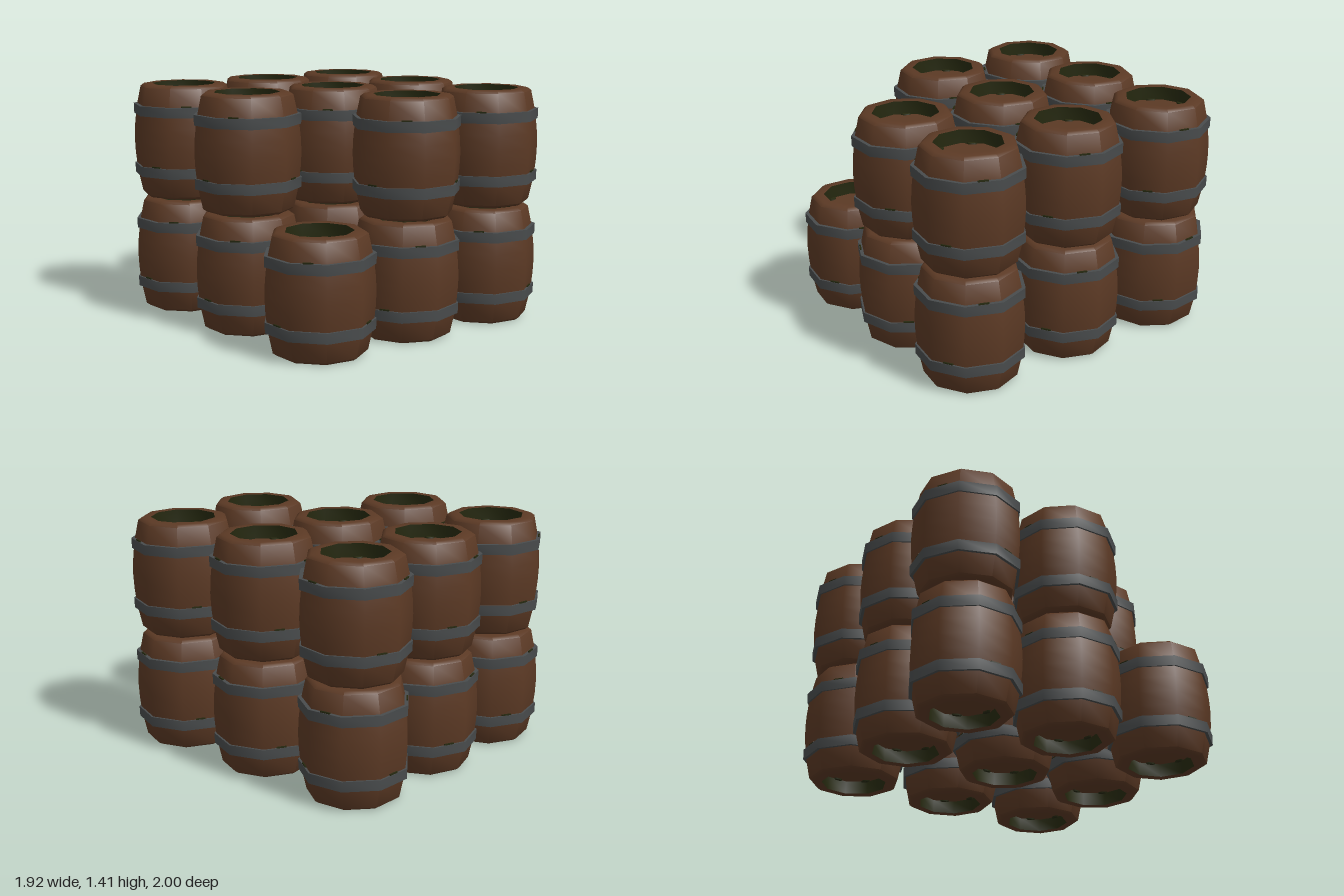
import * as THREE from 'three';
import { toCreasedNormals } from 'three/addons/utils/BufferGeometryUtils.js';

const SIDES = 9;
const HEIGHT = 0.697;
const LAYER = 0.711;
const SPACING_X = 0.64;
const SPACING_Z = 0.683;
const WELL_R = 0.197;
const WELL_DEPTH = 0.08;

const paint = (name, color) => {
  const m = new THREE.MeshStandardMaterial({ color });
  m.name = name;
  return m;
};

// Nine-sided turned shape with one corner on +x; hard edges stay sharp.
function turned(points) {
  const profile = points.map(([r, y]) => new THREE.Vector2(r, y));
  return toCreasedNormals(new THREE.LatheGeometry(profile, SIDES, Math.PI / 2), 0.75);
}

export function createModel() {
  const wood = paint('brown wood', 0x5b3924);
  const iron = paint('grey iron', 0x494c4d);
  const moss = paint('dark moss', 0x25280f);

  // Shared geometries
  const stavesGeo = turned([
    [WELL_R, 0], [0.25, 0], [0.273, 0.016], [0.302, 0.15], [0.314, 0.26],
    [0.318, HEIGHT / 2],
    [0.314, HEIGHT - 0.26], [0.302, HEIGHT - 0.15], [0.273, HEIGHT - 0.016],
    [0.25, HEIGHT], [WELL_R, HEIGHT],
  ]);
  const bandGeo = turned([
    [0.28, -0.031], [0.317, -0.031], [0.319, 0.031], [0.28, 0.031],
  ]);
  const wellGeo = turned([[WELL_R, HEIGHT], [WELL_R, HEIGHT - WELL_DEPTH]]);
  const lidGeo = new THREE.CircleGeometry(WELL_R, SIDES).rotateX(-Math.PI / 2);
  const lidMossGeo = new THREE.CylinderGeometry(0.026, 0.03, 0.008, 6).scale(0.45, 1, 1);
  const bandMossGeo = new THREE.BoxGeometry(0.009, 0.014, 0.06);

  function add(parent, name, geo, mat, x = 0, y = 0, z = 0, ry = 0) {
    const mesh = new THREE.Mesh(geo, mat);
    mesh.name = name;
    mesh.position.set(x, y, z);
    mesh.rotation.y = ry;
    parent.add(mesh);
    return mesh;
  }

  // Recessed barrel head with mossy walls
  function makeHead(name) {
    const head = new THREE.Group();
    head.name = name;
    add(head, 'recessWall', wellGeo, moss);
    add(head, 'lid', lidGeo, wood, 0, HEIGHT - WELL_DEPTH, 0);
    [20, 78, 140, 205, 262].forEach((deg) => {
      const a = THREE.MathUtils.degToRad(deg);
      add(head, 'lidMoss', lidMossGeo, moss,
        0.176 * Math.cos(a), HEIGHT - WELL_DEPTH + 0.004, -0.176 * Math.sin(a), a);
    });
    return head;
  }

  function makeBarrel() {
    const barrel = new THREE.Group();
    barrel.name = 'barrel';
    add(barrel, 'staves', stavesGeo, wood);

    const topHead = makeHead('topHead');
    const bottomHead = makeHead('bottomHead');
    bottomHead.rotation.x = Math.PI;
    bottomHead.position.y = HEIGHT;
    barrel.add(topHead, bottomHead);

    [0.166, 0.541].forEach((y, i) => {
      add(barrel, 'ironBand', bandGeo, iron, 0, y, 0);
      // Moss caught on the upper edge of the band, mid-facet
      [1, 4, 7].forEach((k) => {
        const a = ((k + i + 0.5) * Math.PI * 2) / SIDES;
        add(barrel, 'bandMoss', bandMossGeo, moss,
          0.293 * Math.cos(a), y + 0.032, -0.293 * Math.sin(a), a);
      });
    });
    return barrel;
  }

  // Turn of each barrel in degrees: layers, then rows back to front, then columns
  const turns = [
    [[2, 8, 28], [0, 25, 0], [0, 25, 0]],
    [[20, 8, 10], [0, 6, 0], [null, 8, 0]],
  ];

  const model = new THREE.Group();
  model.name = 'barrelStack';
  turns.forEach((rows, layer) => rows.forEach((row, r) => row.forEach((turn, c) => {
    if (turn === null) return; // empty place in the upper layer
    const barrel = makeBarrel();
    barrel.position.set((c - 1) * SPACING_X, layer * LAYER, (r - 1) * SPACING_Z);
    barrel.rotation.y = THREE.MathUtils.degToRad(turn);
    model.add(barrel);
  })));
  return model;
}
